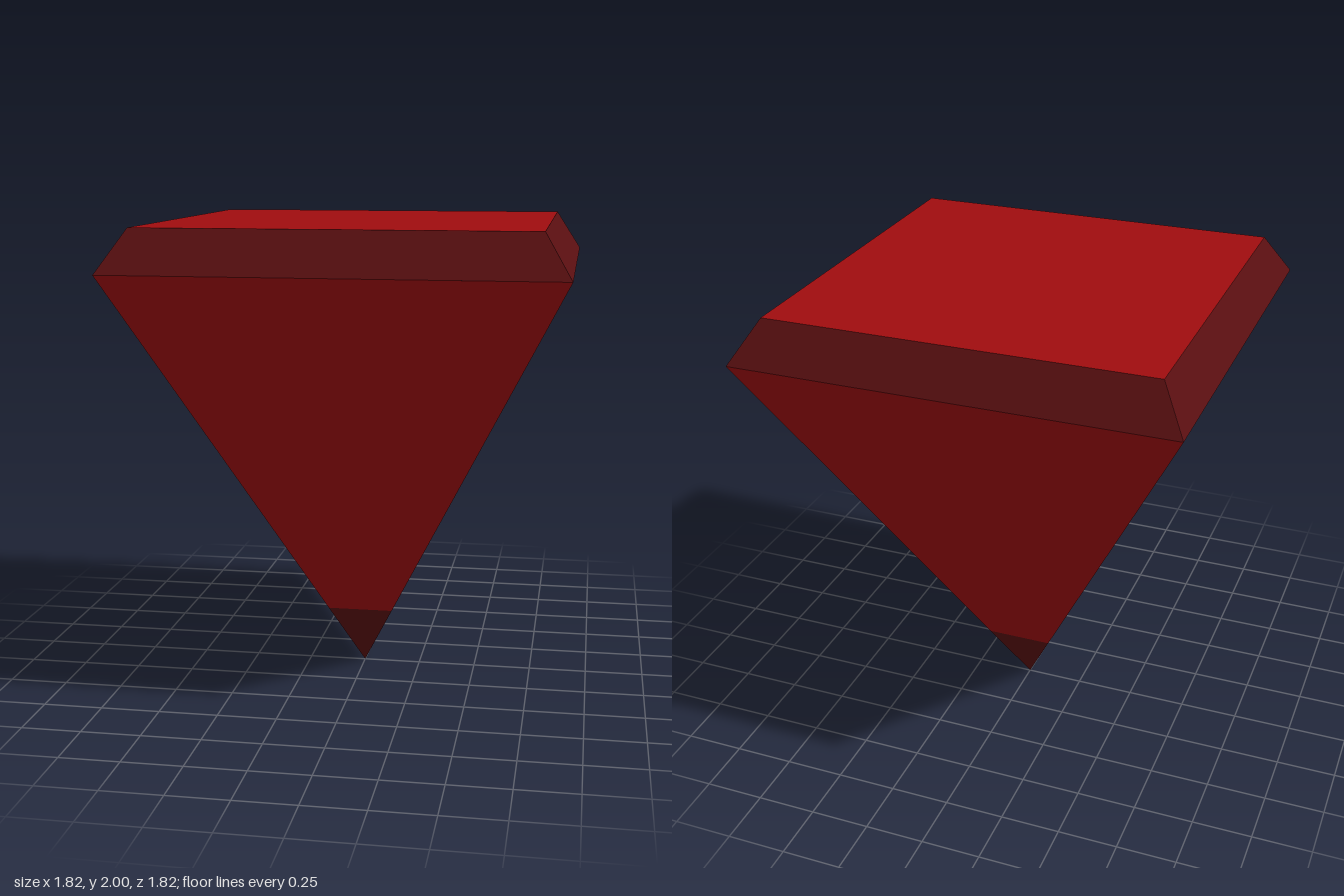
import * as THREE from 'three';

const red = new THREE.MeshStandardMaterial({ color: 0xa00d0f });
red.name = 'red';
const darkRed = new THREE.MeshStandardMaterial({ color: 0x5a0f11 });
darkRed.name = 'darkRed';

export function createModel() {
  const group = new THREE.Group();
  group.name = 'gem';

  // Open square frustum between two heights, given half widths
  const frustum = (name, y0, half0, y1, half1, material) => {
    const geometry = new THREE.CylinderGeometry(
      half1 * Math.SQRT2, half0 * Math.SQRT2, y1 - y0, 4, 1, true, Math.PI / 4
    ).toNonIndexed();
    geometry.computeVertexNormals(); // flat facets
    const mesh = new THREE.Mesh(geometry, material);
    mesh.name = name;
    mesh.position.y = (y0 + y1) / 2;
    group.add(mesh);
  };

  const girdleY = 1.825, girdle = 0.908, tipY = 0.285;
  frustum('tip', 0, 0, tipY, girdle * tipY / girdleY, darkRed);
  frustum('body', tipY, girdle * tipY / girdleY, girdleY, girdle, red);
  frustum('bevelBand', girdleY, girdle, 2, 0.8, darkRed);

  // Flat square top
  const top = new THREE.Mesh(new THREE.PlaneGeometry(1.6, 1.6).rotateX(-Math.PI / 2), red);
  top.name = 'topFace';
  top.position.y = 2;
  group.add(top);

  return group;
}
